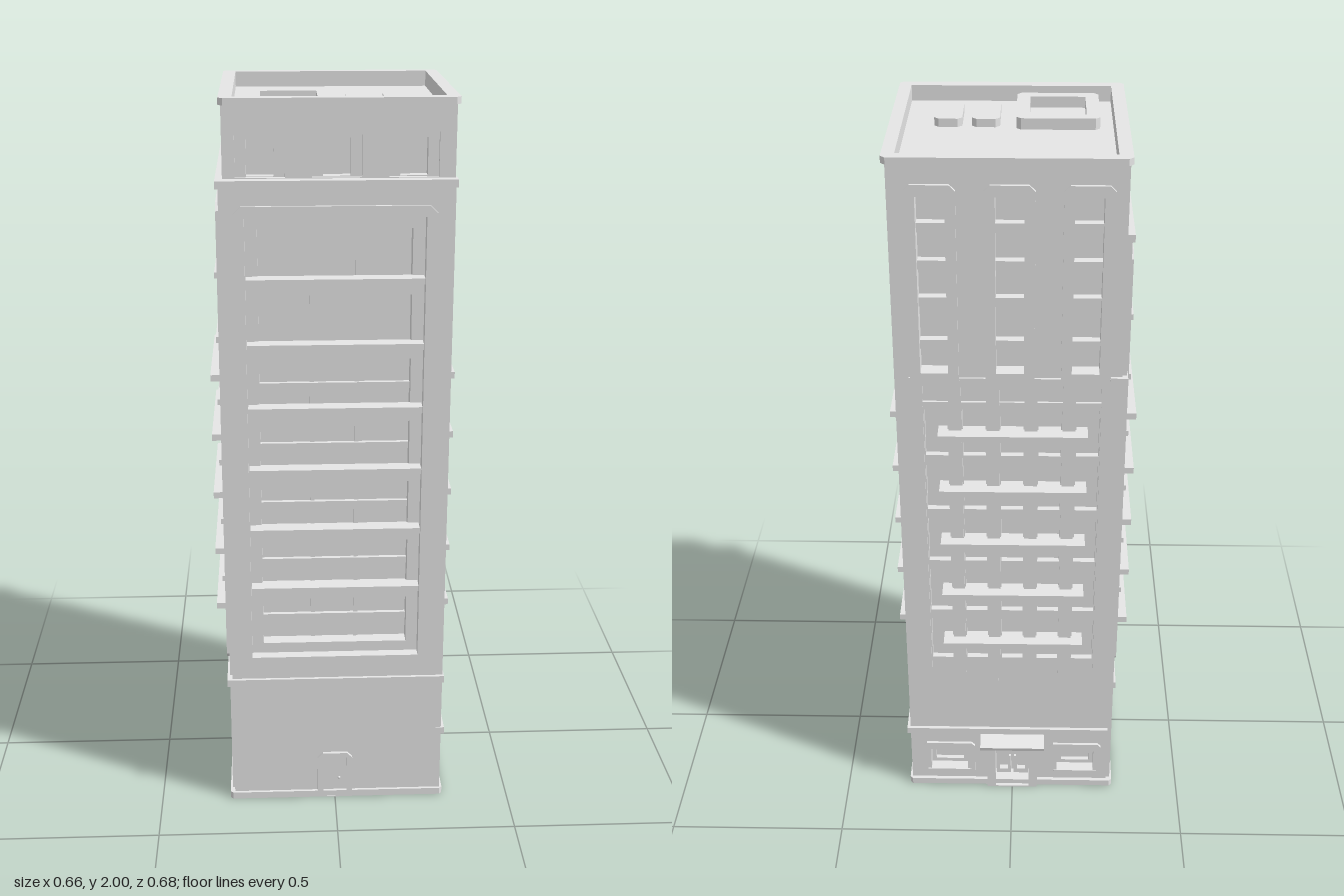
import * as THREE from 'three';

export function createModel() {
  const model = new THREE.Group();
  model.name = 'tower';
  const stone = new THREE.MeshStandardMaterial({ color: 0xe6e6e6 });
  stone.name = 'stone';

  // Rectangle outline with optional chamfers on top and bottom corners
  const outline = (x0, x1, y0, y1, top = 0, bottom = top) => {
    const pts = [];
    const add = (x, y) => pts.push(new THREE.Vector2(x, y));
    add(x0 + bottom, y0); add(x1 - bottom, y0);
    if (bottom) add(x1, y0 + bottom);
    add(x1, y1 - top);
    if (top) { add(x1 - top, y1); add(x0 + top, y1); } else add(x0, y1);
    if (top) add(x0, y1 - top);
    if (bottom) add(x0, y0 + bottom);
    return pts;
  };
  const addMesh = (parent, name, geometry) => {
    const mesh = new THREE.Mesh(geometry, stone);
    mesh.name = name;
    parent.add(mesh);
    return mesh;
  };
  // Upright plate between depths w0 and w1, with holes
  const plate = (parent, name, pts, w0, w1, holes = []) => {
    const shape = new THREE.Shape(pts);
    holes.forEach(h => shape.holes.push(new THREE.Path(h)));
    const geo = new THREE.ExtrudeGeometry(shape, { depth: w1 - w0, bevelEnabled: false });
    geo.translate(0, 0, w0);
    return addMesh(parent, name, geo);
  };
  const box = (parent, name, x0, x1, y0, y1, z0, z1) => {
    const geo = new THREE.BoxGeometry(x1 - x0, y1 - y0, z1 - z0);
    geo.translate((x0 + x1) / 2, (y0 + y1) / 2, (z0 + z1) / 2);
    return addMesh(parent, name, geo);
  };
  // Level slab: outline in x and z, from y0 to y1
  const slab = (name, x0, x1, z0, z1, y0, y1, c = 0, holes = []) => {
    const shape = new THREE.Shape(outline(x0, x1, -z1, -z0, c));
    holes.forEach(h => shape.holes.push(new THREE.Path(outline(h[0], h[1], -h[3], -h[2]))));
    const geo = new THREE.ExtrudeGeometry(shape, { depth: y1 - y0, bevelEnabled: false });
    geo.rotateX(-Math.PI / 2).translate(0, y0, 0);
    return addMesh(model, name, geo);
  };
  // Local frame for one face: x along the wall, z outward
  const face = (name, angle) => {
    const g = new THREE.Group();
    g.name = name;
    g.rotation.y = angle;
    model.add(g);
    return g;
  };

  const ROOF = 1.955, STEP = 0.174;
  const front = face('frontFace', 0);
  const left = face('leftFace', -Math.PI / 2);
  const right = face('rightFace', Math.PI / 2);
  const back = face('backFace', Math.PI);
  const bays = [-0.19, 0.005, 0.2];

  // Solid core behind the walls
  box(model, 'core', -0.265, 0.305, 0, ROOF, -0.255, 0.26);

  // Window wall with a raised surround, used on the front and left
  const windowWall = (g, a, b, c, w, inner, extra, raise) => {
    const holes = [];
    for (let i = 0; i < 7; i++) {
      const y = 0.49 + i * STEP;
      holes.push(outline(c - 0.2, c + 0.2, y, y + 0.137));
    }
    plate(g, 'wall', outline(a, b, 0, ROOF), inner, w, [...holes, ...extra]);
    const panel = outline(c - 0.232, c + 0.232, 0.46, 1.705);
    plate(g, 'outerWall', outline(a - 0.005, b, 0, 1.79), w, w + raise, [panel]);
    plate(g, 'surround', outline(c - 0.26, c + 0.26, 0.43, 1.735, 0.02), w + raise, w + raise + 0.008, [panel]);
    for (let i = 0; i < 6; i++) {
      const y = 0.67 + i * STEP;
      box(g, 'floorLedge', c - 0.23, c + 0.23, y - 0.008, y + 0.008, w - 0.005, w + raise + 0.016);
    }
    // Slim mullions set deep in the openings
    for (const m of [-0.06, 0.06])
      box(g, 'mullion', c + m - 0.006, c + m + 0.006, 0.48, 1.69, inner - 0.004, inner + 0.004);
  };
  // Stepped niches at the top of the front
  const niches = bays.map(u => outline(u - 0.063, u + 0.063, 1.802, 1.932, 0.018, 0));
  windowWall(front, -0.285, 0.305, 0, 0.3, 0.26, niches, 0.022);
  windowWall(left, -0.28, 0.3, 0.022, 0.285, 0.265, [], 0.012);
  bays.forEach((u, i) => plate(front, 'topWindowSurround', niches[i], 0.26, 0.288,
    [outline(u - 0.035, u + 0.035, 1.804, 1.9)]));

  // Sills: deep ones on the sides and back, recessed on the front
  for (let i = 0; i < 5; i++) {
    const y = 0.557 + i * 0.171;
    const sill = (g, u0, u1, w0, w1) => box(g, 'sill', u0, u1, y - 0.009, y + 0.009, w0, w1);
    sill(front, -0.2, 0.2, 0.255, 0.272);
    sill(left, -0.2, 0.195, 0.255, 0.333);
    sill(right, -0.195, 0.2, 0.29, 0.331);
    sill(back, -0.195, 0.2, 0.25, 0.332);
  }
  for (let i = 0; i < 6; i++)
    box(right, 'thinLedge', -0.25, 0.2, 0.664 + i * STEP, 0.676 + i * STEP, 0.29, 0.313);

  // Front door
  plate(front, 'doorFrame', outline(-0.05, 0.05, 0, 0.145, 0.015, 0), 0.31, 0.331, [outline(-0.034, 0.034, 0.002, 0.13)]);
  const knob = addMesh(front, 'doorKnob', new THREE.SphereGeometry(0.004, 10, 8));
  knob.position.set(0.012, 0.06, 0.324);

  // Back wall: three tall windows above a grid of narrow ones
  const tall = bays.map(u => outline(-u - 0.036, -u + 0.036, 1.42, 1.9));
  const columns = [-0.2, -0.1, 0, 0.1, 0.2];
  const narrow = columns.flatMap(u => [0, 1, 2, 3, 4].map(i =>
    outline(u - 0.03, u + 0.03, 0.485 + i * 0.171, 0.625 + i * 0.171)));
  const shopBays = [-0.19, 0.19];
  const shops = shopBays.map(u => outline(u - 0.055, u + 0.055, 0.06, 0.135));
  const entry = outline(-0.05, 0.05, 0.004, 0.15);
  plate(back, 'wall', outline(-0.305, 0.285, 0, ROOF), 0.255, 0.292, [...tall, ...narrow, ...shops, entry]);
  bays.forEach((u, i) => {
    plate(back, 'tallSurround', outline(-u - 0.063, -u + 0.063, 1.4, 1.93, 0.015, 0), 0.285, 0.3, [tall[i]]);
    for (const y of [1.48, 1.6, 1.7, 1.8])
      box(back, 'windowBlock', -u - 0.036, -u + 0.036, y, y + 0.025, 0.25, 0.279);
  });
  for (const u of columns) box(back, 'windowPane', u - 0.032, u + 0.032, 0.48, 1.32, 0.25, 0.274);
  // Pilasters with stepped feet, and the bands joining them
  for (let i = 0; i < 6; i++) {
    const u = -0.25 + i * 0.1;
    box(back, 'pilaster', u - 0.017, u + 0.017, 0.43, 1.4, 0.285, 0.3);
    box(back, 'pilasterFoot', u - 0.009, u + 0.009, 0.4, 0.43, 0.285, 0.298);
  }
  box(back, 'upperBand', -0.267, 0.267, 1.385, 1.405, 0.285, 0.299);
  box(back, 'lowerBand', -0.267, 0.267, 1.315, 1.335, 0.285, 0.299);
  box(back, 'cornerBlock', 0.255, 0.3, 1.39, 1.41, 0.26, 0.302);

  // Back entrance, canopy and ground floor windows
  plate(back, 'entranceFrame', outline(-0.075, 0.075, 0, 0.165), 0.285, 0.313, [entry]);
  for (const s of [-1, 1]) {
    plate(back, 'entranceDoor', outline(s * 0.026 - 0.022, s * 0.026 + 0.022, 0.004, 0.145), 0.25, 0.272,
      [outline(s * 0.026 - 0.012, s * 0.026 + 0.012, 0.035, 0.13)]);
    box(back, 'doorHandle', s * 0.008 - 0.003, s * 0.008 + 0.003, 0.055, 0.095, 0.27, 0.282);
  }
  const canopy = addMesh(back, 'canopy', new THREE.BoxGeometry(0.19, 0.012, 0.056));
  canopy.position.set(0, 0.18, 0.312);
  canopy.rotation.x = 0.25;
  shopBays.forEach((u, i) => {
    plate(back, 'shopSurround', outline(u - 0.077, u + 0.077, 0.035, 0.16, 0.01), 0.285, 0.3, [shops[i]]);
    plate(back, 'shopWindow', outline(u - 0.055, u + 0.055, 0.06, 0.135), 0.25, 0.268,
      [outline(u - 0.042, u + 0.042, 0.072, 0.123)]);
    box(back, 'shopSill', u - 0.065, u + 0.065, 0.05, 0.06, 0.29, 0.303);
  });

  // Plinth, belts and cornices
  slab('plinth', -0.303, 0.312, -0.303, 0.33, 0, 0.02, 0.008);
  box(right, 'sideBelt', -0.325, 0.302, 0.2, 0.22, 0.29, 0.314);
  box(back, 'backBelt', -0.313, 0.285, 0.2, 0.22, 0.28, 0.302);
  for (const y of [0.37, 1.78]) {
    box(front, 'frontCornice', -0.304, 0.309, y, y + 0.02, 0.29, 0.331);
    box(left, 'sideCornice', -0.285, 0.3, y, y + 0.02, 0.27, 0.304);
  }

  // Parapet, coping and roof fittings
  const inside = [[-0.257, 0.282, -0.273, 0.268]];
  slab('parapet', -0.285, 0.305, -0.292, 0.3, ROOF, 1.982, 0, inside);
  slab('coping', -0.292, 0.315, -0.303, 0.302, 1.982, 2, 0.012, inside);
  slab('roofDeck', -0.27, 0.29, -0.28, 0.28, ROOF - 0.01, ROOF + 0.003);
  slab('roofCurb', -0.222, -0.005, 0.03, 0.245, ROOF, 1.988, 0.012, [[-0.187, -0.04, 0.065, 0.212]]);
  for (const x of [0.037, 0.135]) slab('roofUnit', x, x + 0.073, 0.047, 0.193, ROOF, 1.98, 0.012);

  return model;
}
